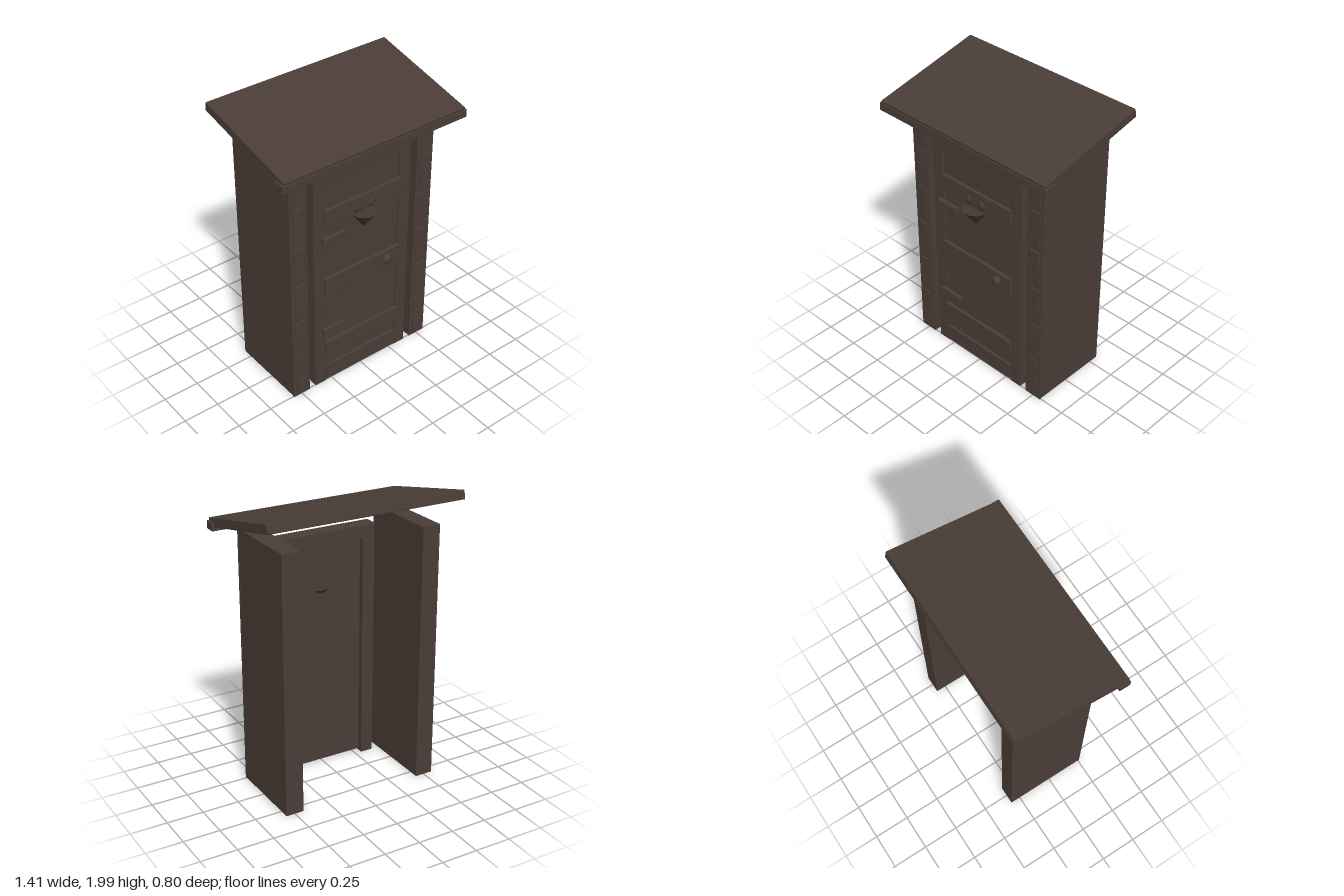
import * as THREE from 'three';
import { RoundedBoxGeometry } from 'three/addons/geometries/RoundedBoxGeometry.js';

const wood = new THREE.MeshStandardMaterial({ color: 0x4a3d37 });
wood.name = 'brown wood';
const heartWood = new THREE.MeshStandardMaterial({ color: 0x433a30 });
heartWood.name = 'heart brown';

export function createModel() {
  const model = new THREE.Group();
  model.name = 'outhouse';

  const add = (name, geometry, x, y, z, material = wood) => {
    const mesh = new THREE.Mesh(geometry, material);
    mesh.name = name;
    mesh.position.set(x, y, z);
    model.add(mesh);
    return mesh;
  };

  // Softly bevelled board given by its extents
  const board = (name, x0, x1, y0, y1, z0, z1) => {
    const w = x1 - x0, h = y1 - y0, d = z1 - z0;
    const geometry = new RoundedBoxGeometry(w, h, d, 2, 0.004);
    return add(name, geometry, (x0 + x1) / 2, (y0 + y1) / 2, (z0 + z1) / 2);
  };

  // Board on both sides, given for +x
  const pair = (name, x0, x1, ...rest) => {
    board(name + 'Left', x0, x1, ...rest);
    board(name + 'Right', -x1, -x0, ...rest);
  };

  // Side walls with front corner boards
  pair('sideWall', 0.437, 0.563, 0.005, 1.78, -0.32, 0.25);
  pair('cornerBoard', 0.435, 0.565, 0.005, 1.78, 0.243, 0.26);

  // Raised panels up each corner board
  for (let i = 0; i < 6; i++) {
    const bottom = i === 0 ? 0.02 : 0.08 + i * 0.291;
    const top = Math.min(0.335 + i * 0.291, 1.78);
    pair('cornerPanel' + (i + 1), 0.46, 0.54, bottom, top, 0.25, 0.267);
  }
  pair('cornerFoot', 0.46, 0.54, 0.02, 0.145, 0.25, 0.27);

  // Door frame
  pair('framePost', 0.295, 0.385, 0.005, 1.685, 0.16, 0.258);
  board('frameLintel', -0.3, 0.3, 1.59, 1.685, 0.16, 0.258);

  // Door leaf, kick board and battens
  board('door', -0.295, 0.295, 0.02, 1.592, 0.195, 0.25);
  board('kickBoard', -0.294, 0.294, 0.02, 0.145, 0.24, 0.266);
  for (const [y0, y1] of [[0.222, 0.35], [0.75, 0.878], [1.275, 1.403]]) {
    board('doorBatten', -0.306, 0.306, y0, y1, 0.24, 0.273);
  }

  // Hinges and knob
  for (const y of [0.452, 1.18]) {
    board('hinge', -0.33, -0.155, y - 0.024, y + 0.024, 0.255, 0.285);
  }
  add('doorKnob', new THREE.SphereGeometry(0.035, 24, 16), 0.192, 0.815, 0.27);

  // Heart: two balls over a cone pointing down
  for (const x of [-0.055, 0.055]) {
    add('heartLobe', new THREE.SphereGeometry(0.045, 24, 16), x, 1.325, 0.243, heartWood);
  }
  const cone = add('heartPoint', new THREE.ConeGeometry(0.09, 0.125, 32), 0, 1.218, 0.265, heartWood);
  cone.rotation.x = Math.PI;

  // Roof rising to the back, with a beam under the front eave
  const roof = add('roof', new RoundedBoxGeometry(1.38, 0.06, 0.805, 2, 0.004), 0, 1.885, 0);
  roof.rotation.x = 0.213;
  board('eaveBeam', -0.703, 0.703, 1.758, 1.813, 0.325, 0.402);

  return model;
}
